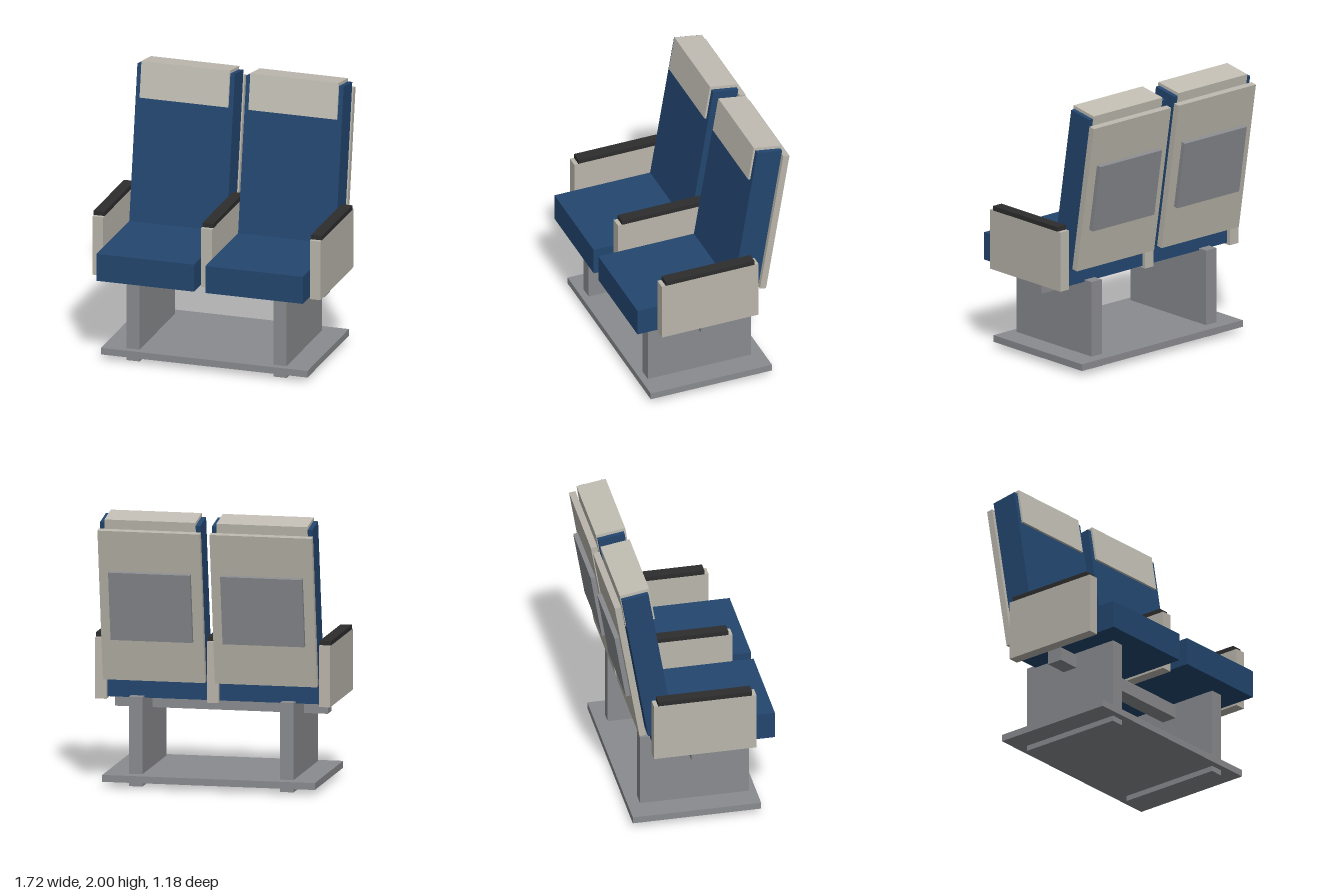
import * as THREE from 'three';

const mat = (name, color) => {
  const m = new THREE.MeshStandardMaterial({ color });
  m.name = name;
  return m;
};

export function createModel() {
  const fabric = mat('blue fabric', 0x23466f);
  const shell = mat('beige shell', 0xbab6ac);
  const cover = mat('pale headrest cover', 0xc2beb4);
  const metal = mat('grey metal', 0x8a8b8f);
  const rubber = mat('black padding', 0x2d2d2d);

  const model = new THREE.Group();
  model.name = 'doubleSeat';

  // box given by its limits along x, y and z
  const block = (name, material, [x0, x1], [y0, y1], [z0, z1], parent = model) => {
    const mesh = new THREE.Mesh(new THREE.BoxGeometry(x1 - x0, y1 - y0, z1 - z0), material);
    mesh.position.set((x0 + x1) / 2, (y0 + y1) / 2, (z0 + z1) / 2);
    mesh.name = name;
    parent.add(mesh);
    return mesh;
  };

  // box leaning with the backrest, centred at height y and depth z
  const leaning = (name, material, w, h, d, y, z, parent) => {
    const mesh = new THREE.Mesh(new THREE.BoxGeometry(w, h, d), material);
    mesh.position.set(0, y, z);
    mesh.rotation.x = -0.162;
    mesh.name = name;
    parent.add(mesh);
  };

  // floor plate and cross beam
  block('floorPlate', metal, [-0.78, 0.78], [0.04, 0.09], [-0.455, 0.485]);
  block('crossBeam', metal, [-0.78, 0.78], [0.52, 0.62], [-0.025, 0.095]);

  for (const side of [-1, 1]) {
    const sideName = side > 0 ? 'left' : 'right';

    // slab leg passing through the floor plate
    const legX = side * 0.555;
    block(sideName + 'Leg', metal, [legX - 0.05, legX + 0.05], [0, 0.65], [-0.365, 0.435]);

    // seat: cushion, backrest, headrest cover, rear panel and folded tray
    const seat = new THREE.Group();
    seat.name = sideName + 'Seat';
    seat.position.x = side * 0.411;
    model.add(seat);
    block('cushion', fabric, [-0.368, 0.368], [0.635, 0.84], [-0.29, 0.587], seat);
    leaning('backrest', fabric, 0.736, 1.193, 0.197, 1.371, -0.341, seat);
    leaning('headrestCover', cover, 0.668, 0.268, 0.217, 1.851, -0.414, seat);
    leaning('rearPanel', shell, 0.75, 1.127, 0.048, 1.338, -0.474, seat);
    leaning('trayTable', metal, 0.6, 0.51, 0.036, 1.336, -0.515, seat);
  }

  // three armrests with padded tops
  for (const [name, x] of [['right', -0.821], ['middle', 0], ['left', 0.821]]) {
    block(name + 'Armrest', shell, [x - 0.041, x + 0.041], [0.62, 1.065], [-0.317, 0.433]);
    block(name + 'ArmrestPad', rubber, [x - 0.041, x + 0.041], [1.065, 1.098], [-0.286, 0.402]);
  }

  return model;
}
